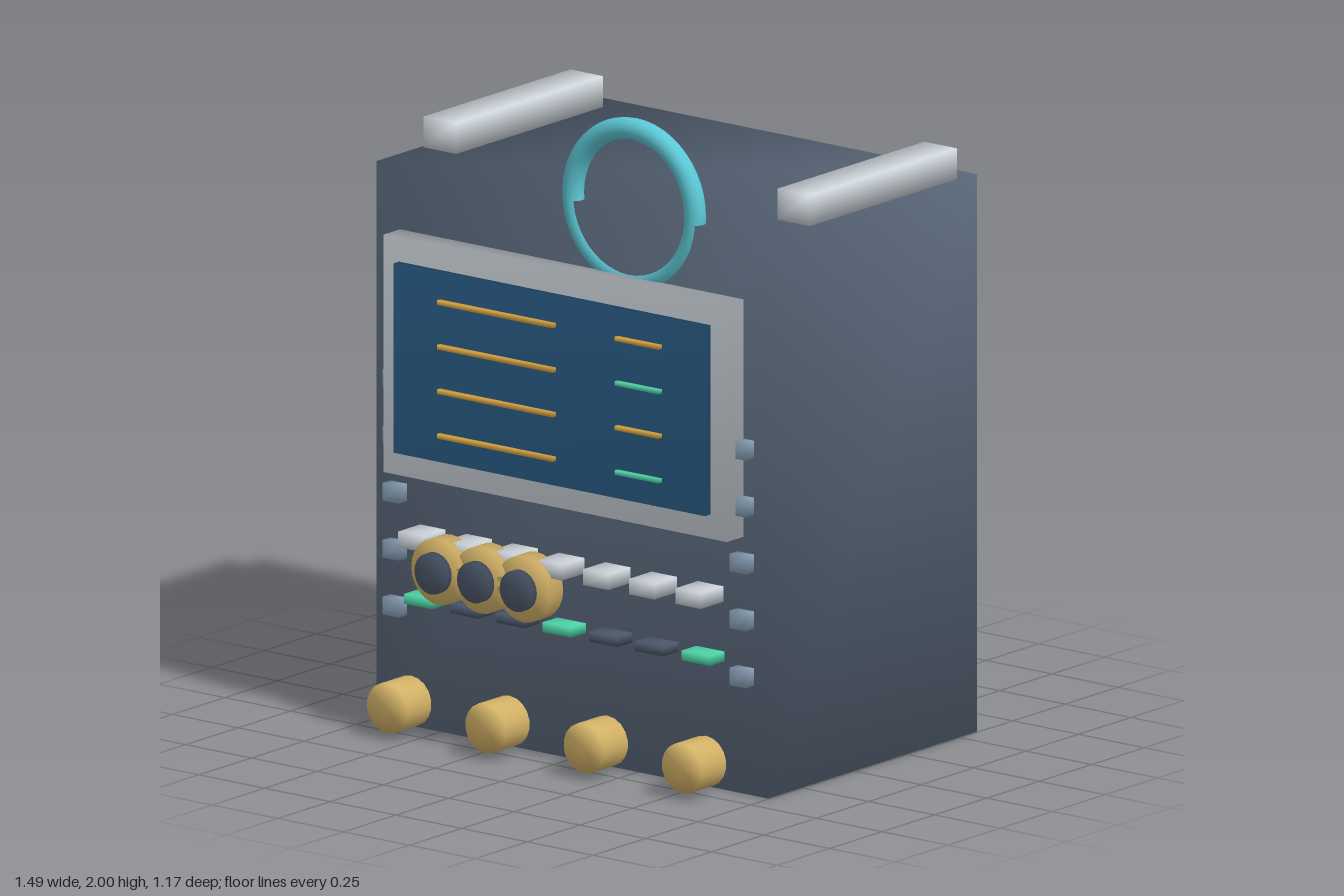
import * as THREE from 'three';
import { mergeVertices } from 'three/addons/utils/BufferGeometryUtils.js';

const mat = (name, color) => {
  const m = new THREE.MeshStandardMaterial({ color });
  m.name = name;
  return m;
};

// Share corners so that normals blend softly across the edges
function soften(geometry) {
  geometry.deleteAttribute('normal');
  geometry.deleteAttribute('uv');
  const g = mergeVertices(geometry);
  g.computeVertexNormals();
  return g;
}

export function createModel() {
  const slate = mat('slate', 0x5b697c);
  const silver = mat('silver', 0xcdd4da);
  const screenBlue = mat('screen blue', 0x2a5f8a);
  const brass = mat('brass', 0xd6b468);
  const amber = mat('amber', 0xd9a441);
  const mint = mat('mint', 0x4fd6a8);
  const teal = mat('teal', 0x5cc8d6);
  const steel = mat('steel', 0x8aa2b8);
  const darkSlate = mat('dark slate', 0x4c586b);

  const model = new THREE.Group();
  model.name = 'controlConsole';

  const add = (name, geometry, material, x, y, z) => {
    const mesh = new THREE.Mesh(geometry, material);
    mesh.name = name;
    mesh.position.set(x, y, z);
    model.add(mesh);
    return mesh;
  };
  // Box given by its x, y and z limits
  const box = (name, material, x0, x1, y0, y1, z0, z1) =>
    add(name, soften(new THREE.BoxGeometry(x1 - x0, y1 - y0, z1 - z0)), material,
      (x0 + x1) / 2, (y0 + y1) / 2, (z0 + z1) / 2);
  // Box centred on x and y, running from z0 to z1
  const block = (name, material, x, y, w, h, z0, z1) =>
    box(name, material, x - w / 2, x + w / 2, y - h / 2, y + h / 2, z0, z1);
  // Disc facing forwards
  const disc = (name, material, x, y, r, z0, z1, sides) =>
    add(name, soften(new THREE.CylinderGeometry(r, r, z1 - z0, sides).rotateX(Math.PI / 2)),
      material, x, y, (z0 + z1) / 2);

  // Cabinet and the two rails on its top
  box('cabinet', slate, -0.745, 0.745, 0, 1.715, -0.585, 0.41);
  for (const s of [-1, 1]) block('topRail', silver, s * 0.673, 1.762, 0.124, 0.096, -0.502, 0.198);

  // Ring handle sunk into the front edge of the top
  add('ringHandle', new THREE.TorusGeometry(0.232, 0.033, 14, 48), teal, 0.215, 1.735, 0.384);

  // Display
  box('screenFrame', silver, -0.655, 0.652, 0.79, 1.52, 0.41, 0.49);
  box('screen', screenBlue, -0.595, 0.59, 0.865, 1.447, 0.485, 0.517);
  for (let i = 0; i < 4; i++) {
    const y = 1.36 - i * 0.137;
    block('longReadout', amber, -0.195, y, 0.44, 0.014, 0.52, 0.536);
    block('shortReadout', i % 2 ? mint : amber, 0.345, y, 0.167, 0.013, 0.52, 0.536);
  }

  // Two rows of keys
  for (let i = 0; i < 7; i++) {
    const x = -0.53 + i * 0.176;
    block('upperKey', silver, x, 0.601, 0.097, 0.048, 0.41, 0.517);
    block('lowerKey', i % 3 ? darkSlate : mint, x, 0.41, 0.108, 0.03, 0.41, 0.481);
  }

  // Three dials with dark caps
  for (let i = 0; i < 3; i++) {
    const x = -0.41 + i * 0.162;
    disc('dial', brass, x, 0.533, 0.102, 0.473, 0.536, 24);
    disc('dialCap', darkSlate, x, 0.533, 0.063, 0.55, 0.57, 24);
  }

  // Row of knobs along the bottom
  for (let i = 0; i < 4; i++) disc('knob', brass, -0.564 + i * 0.374, 0.098, 0.077, 0.471, 0.586, 18);

  // Studs down both sides of the front
  for (const s of [-1, 1])
    for (let i = 0; i < 5; i++)
      block('stud', steel, s * 0.66, 1.065 - i * 0.175, 0.062, 0.054, 0.41, 0.449);

  return model;
}
